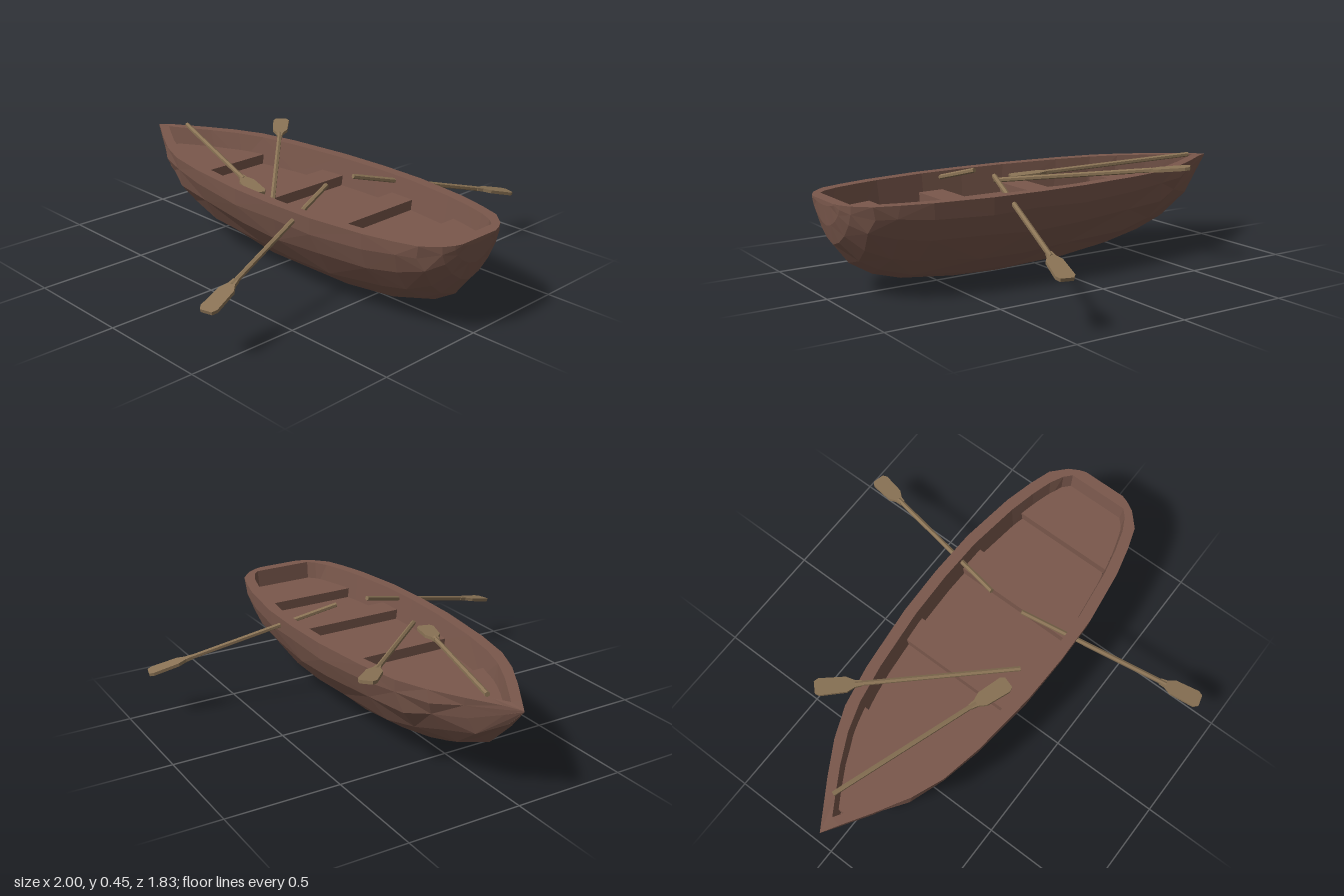
import * as THREE from 'three';

const RIM = 0.405, FLOOR = 0.28, SEAT = 0.325;
// Hull stations from bow to stern: x, half width at the rim, keel height
const STATIONS = [
  [-1, 0, 0.395], [-0.93, 0.043, 0.31], [-0.8, 0.125, 0.185], [-0.66, 0.205, 0.125],
  [-0.52, 0.262, 0.068], [-0.33, 0.3, 0.032], [-0.03, 0.333, 0.008], [0.2, 0.34, 0],
  [0.42, 0.334, 0.008], [0.67, 0.3, 0.037], [0.8, 0.268, 0.075], [0.9, 0.235, 0.135],
  [0.965, 0.175, 0.22], [0.99, 0.13, 0.3], [1, 0.1, 0.385],
];
// Half cross-section: fraction of width, fraction of height
const SECTION = [[1, 1], [0.98, 0.82], [0.87, 0.58], [0.62, 0.3], [0.32, 0.1], [0, 0]];

function halfWidth(x) {
  let i = 1;
  while (i < STATIONS.length - 1 && STATIONS[i][0] < x) i++;
  const [x0, w0] = STATIONS[i - 1], [x1, w1] = STATIONS[i];
  return THREE.MathUtils.lerp(w0, w1, (x - x0) / (x1 - x0));
}

// Joins rows of points with quads
function skin(rows) {
  const out = [];
  for (let i = 0; i < rows.length - 1; i++) {
    for (let j = 0; j < rows[i].length - 1; j++) {
      const a = rows[i][j], b = rows[i][j + 1], c = rows[i + 1][j + 1], d = rows[i + 1][j];
      out.push(...((i + j) % 2 ? [a, b, c, a, c, d] : [a, b, d, b, c, d]));
    }
  }
  const g = new THREE.BufferGeometry();
  g.setAttribute('position', new THREE.Float32BufferAttribute(out.flat(), 3));
  g.computeVertexNormals();
  return g;
}

// Closed plan outline of the boat, drawn in by an inset
function outline(x0, x1, inset, y) {
  const side = STATIONS.map(([x]) => {
    const px = THREE.MathUtils.lerp(x0, x1, (x + 1) / 2);
    return [px, y, Math.max(halfWidth(px) - inset, 0)];
  });
  const loop = [...side, ...side.slice().reverse().map(([x, h, z]) => [x, h, -z])];
  return [...loop, loop[0]];
}

// Board that follows the inner sides of the boat between two x positions
function board(x0, x1, thickness) {
  const pts = [];
  for (let i = 0; i <= 6; i++) {
    const x = THREE.MathUtils.lerp(x0, x1, i / 6);
    pts.push(new THREE.Vector2(x, Math.max(halfWidth(x) - 0.062, 0.004)));
  }
  const other = pts.slice().reverse().map((p) => new THREE.Vector2(p.x, -p.y));
  const g = new THREE.ExtrudeGeometry(new THREE.Shape([...pts, ...other]), { depth: thickness, bevelEnabled: false });
  return g.rotateX(Math.PI / 2);
}

export function createModel() {
  const model = new THREE.Group();
  model.name = 'rowingBoat';
  const wood = new THREE.MeshStandardMaterial({ color: 0x7a584c, flatShading: true });
  const oarWood = new THREE.MeshStandardMaterial({ color: 0x8a7355, flatShading: true });

  const add = (name, geometry, material, parent = model) => {
    const mesh = new THREE.Mesh(geometry, material);
    mesh.name = name;
    parent.add(mesh);
    return mesh;
  };

  // Faceted outer hull, slightly uneven, closed at the stern
  const rows = STATIONS.map(([x, w, keel], i) => {
    const rimY = i === 0 ? 0.4 : RIM;
    const half = SECTION.map(([fz, fy], j) => {
      const uneven = j > 0 && j < 5 && i > 1 && i < 12 ? 0.006 * Math.sin(i * 2.3 + j * 4.1) : 0;
      return [x + uneven * 2, keel + (rimY - keel) * fy + uneven, w * fz];
    });
    return [...half, ...half.slice(0, -1).reverse().map(([px, y, z]) => [px, y, -z])];
  });
  rows.push(rows[0].map(() => [1, RIM, 0]));
  add('hull', skin(rows), wood);

  // Flat gunwale and inner walls
  const outer = outline(-1, 1, 0, RIM);
  outer[0][1] = outer[outer.length - 2][1] = 0.4;
  const inner = outline(-0.92, 0.95, 0.05, RIM);
  const foot = outline(-0.88, 0.935, 0.068, FLOOR - 0.005);
  add('gunwale', skin([outer, inner]), wood);
  add('innerWalls', skin([inner, foot]), wood);

  // Floor and seats
  add('floor', board(-0.88, 0.935, 0.01), wood).position.y = FLOOR;
  const seats = { bowSeat: [-0.87, -0.46], middleSeat: [-0.11, 0.01], rowingSeat: [0.31, 0.43], sternSeat: [0.69, 0.945] };
  for (const [name, [x0, x1]] of Object.entries(seats)) {
    add(name, board(x0, x1, SEAT - FLOOR), wood).position.y = SEAT;
  }

  // Oar from the handle end to the blade end, blade lying flat
  const bladeLength = 0.2;
  const bladeShape = new THREE.Shape([
    [-0.012, 0], [-0.016, 0.03], [-0.034, 0.065], [-0.038, 0.18], [-0.026, 0.2],
    [0.026, 0.2], [0.038, 0.18], [0.034, 0.065], [0.016, 0.03], [0.012, 0],
  ].map(([x, y]) => new THREE.Vector2(x, y)));
  const addOar = (name, handle, tip) => {
    const start = new THREE.Vector3(...handle), end = new THREE.Vector3(...tip);
    const along = end.clone().sub(start), length = along.length();
    along.normalize();
    const across = along.clone().cross(new THREE.Vector3(0, 1, 0)).normalize();
    const oar = new THREE.Group();
    oar.name = name;
    oar.position.copy(start);
    oar.quaternion.setFromRotationMatrix(new THREE.Matrix4().makeBasis(across, along, across.clone().cross(along)));
    const shaftLength = length - bladeLength + 0.03;
    add('shaft', new THREE.CylinderGeometry(0.011, 0.011, shaftLength, 6), oarWood, oar).position.y = shaftLength / 2;
    const blade = new THREE.ExtrudeGeometry(bladeShape, { depth: 0.014, bevelEnabled: false });
    add('blade', blade, oarWood, oar).position.set(0, length - bladeLength, -0.007);
    model.add(oar);
  };
  addOar('leftOar', [0.26, 0.435, 0.08], [0.475, 0.21, 0.905]);
  addOar('rightOar', [0.26, 0.435, -0.08], [0.475, 0.21, -0.905]);
  addOar('spareOarBow', [-0.845, 0.42, -0.055], [-0.01, 0.358, 0.215]);
  addOar('spareOarAcross', [0.075, 0.35, 0.215], [-0.545, 0.437, -0.405]);
  return model;
}
